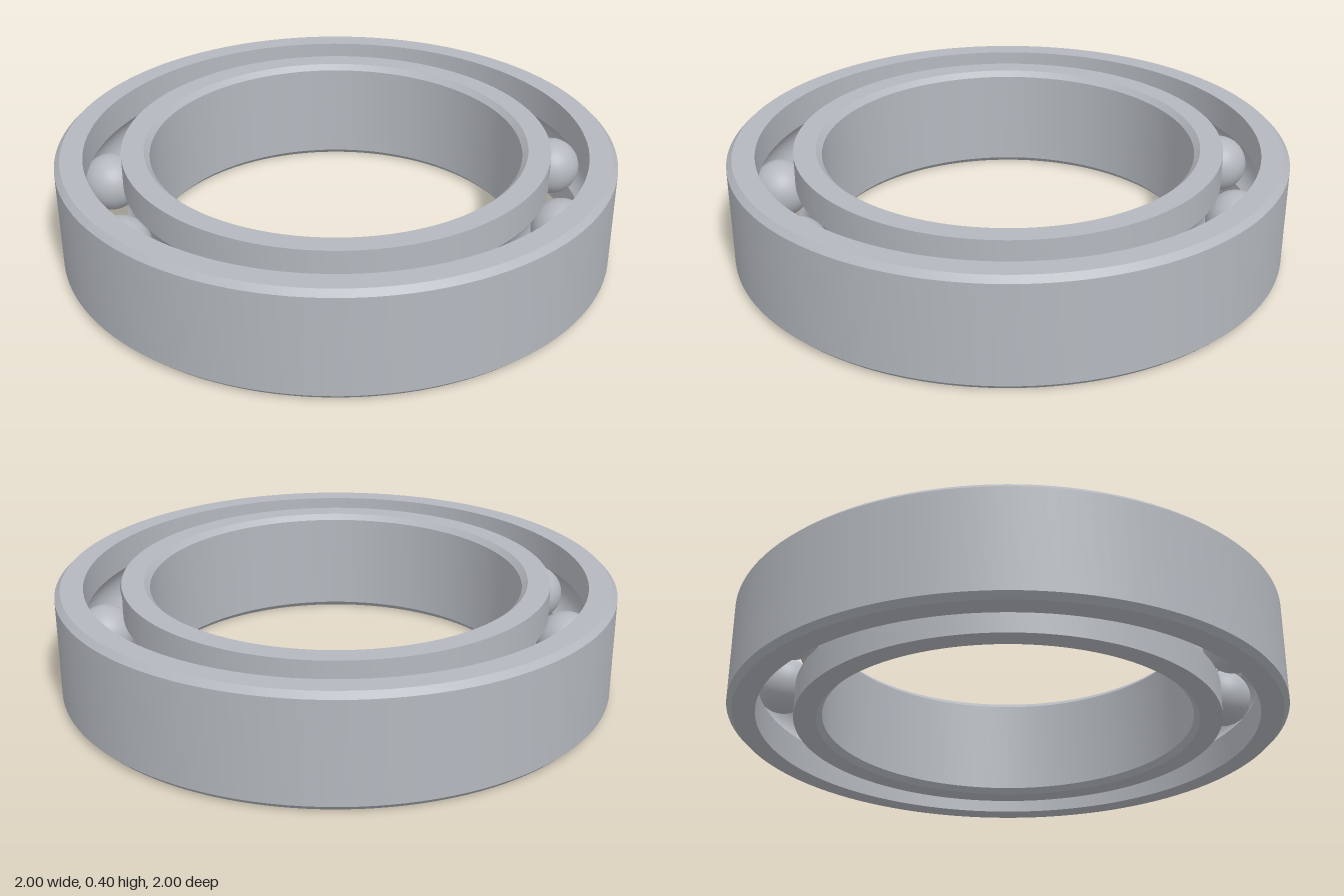
import * as THREE from 'three';
import { toCreasedNormals } from 'three/addons/utils/BufferGeometryUtils.js';

const HEIGHT = 0.4, MID = HEIGHT / 2;
const PITCH = 0.833;        // radius of the circle of ball centres
const BALL = 0.105, GROOVE = 0.107;
const OUTER_LIP = 0.9, INNER_LIP = 0.767;
const CHAMFER = 0.02, BALLS = 11;

// Raceway arc on the outer (side 1) or inner (side -1) ring
function raceway(side, lip) {
  const half = Math.acos(Math.abs(lip - PITCH) / GROOVE);
  const points = [];
  for (let i = 0; i <= 12; i++) {
    const a = half * (1 - i / 6);
    points.push([PITCH + side * GROOVE * Math.cos(a), MID + side * GROOVE * Math.sin(a)]);
  }
  return points;
}

// Closed section, counter-clockwise, turned around the axis
function ring(name, section, material) {
  const points = [...section, section[0]].map(([x, y]) => new THREE.Vector2(x, y));
  const geometry = toCreasedNormals(new THREE.LatheGeometry(points, 120), Math.PI / 6);
  const mesh = new THREE.Mesh(geometry, material);
  mesh.name = name;
  return mesh;
}

export function createModel() {
  const model = new THREE.Group();
  model.name = 'ballBearing';
  const steel = new THREE.MeshStandardMaterial({ color: 0xb4b8be });
  steel.name = 'steel';

  // Outer ring: chamfered rim outside, groove inside
  model.add(ring('outerRing', [
    [OUTER_LIP, 0], [1 - CHAMFER, 0], [1, CHAMFER],
    [1, HEIGHT - CHAMFER], [1 - CHAMFER, HEIGHT], [OUTER_LIP, HEIGHT],
    ...raceway(1, OUTER_LIP),
  ], steel));

  // Inner ring: groove outside, chamfered bore inside
  const bore = 0.667;
  model.add(ring('innerRing', [
    [bore, CHAMFER], [bore + CHAMFER, 0], [INNER_LIP, 0],
    ...raceway(-1, INNER_LIP),
    [INNER_LIP, HEIGHT], [bore + CHAMFER, HEIGHT], [bore, HEIGHT - CHAMFER],
  ], steel));

  // Balls evenly spaced in the raceway
  const balls = new THREE.Group();
  balls.name = 'balls';
  const sphere = new THREE.SphereGeometry(BALL, 40, 24);
  for (let i = 0; i < BALLS; i++) {
    const a = (i / BALLS) * Math.PI * 2;
    const ball = new THREE.Mesh(sphere, steel);
    ball.name = `ball${i + 1}`;
    ball.position.set(PITCH * Math.cos(a), MID, PITCH * Math.sin(a));
    balls.add(ball);
  }
  model.add(balls);
  return model;
}
